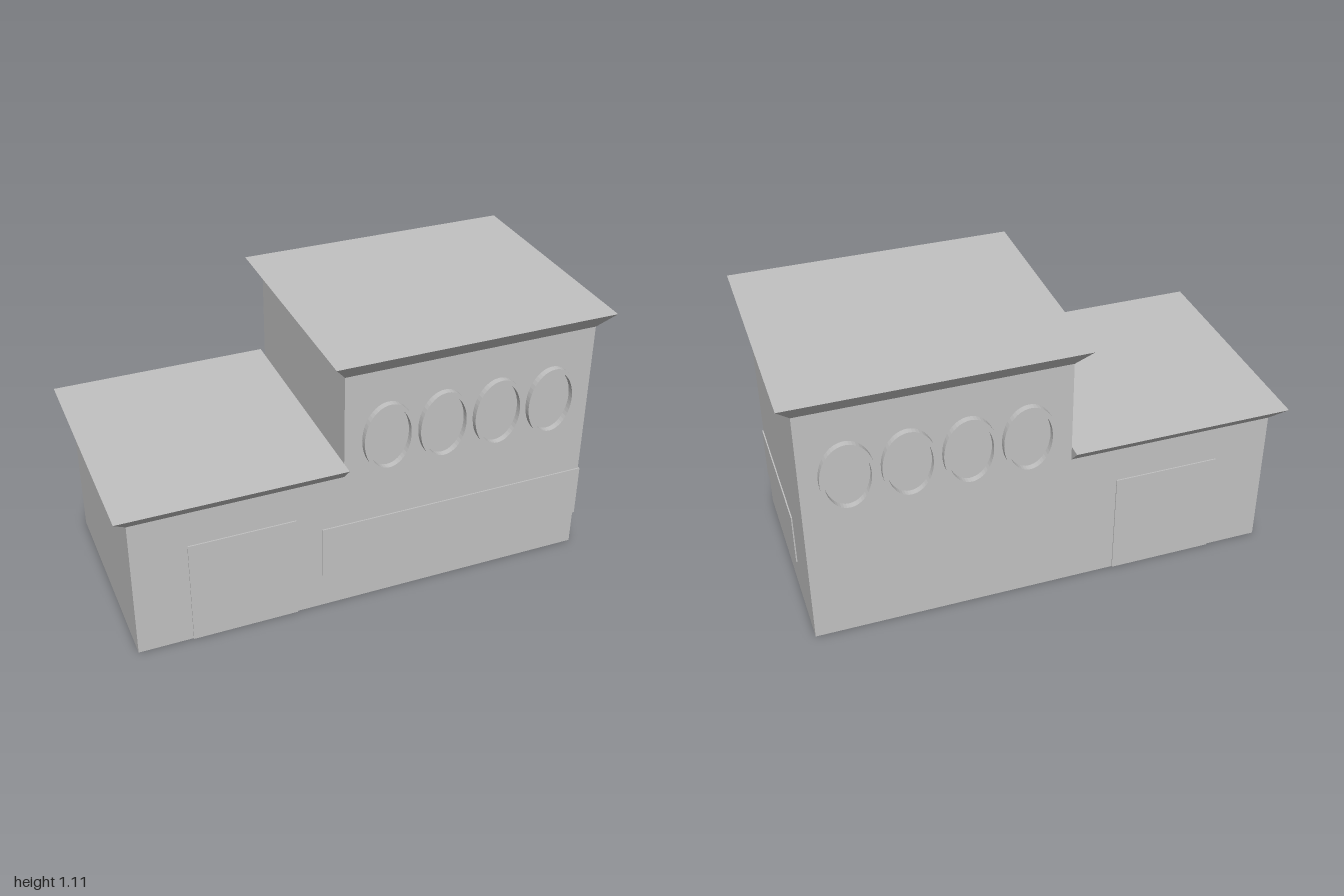
import * as THREE from 'three';

const HX = 0.945, HZ = 0.445, STEP = -0.1, LOW = 0.6, HIGH = 1.035, OUT = 0.005;

export function createModel() {
  const model = new THREE.Group();
  const plaster = new THREE.MeshStandardMaterial({ color: 0xc2c2c2, side: THREE.DoubleSide });
  plaster.name = 'plasterGrey';

  const add = (name, geometry, parent = model) => {
    const mesh = new THREE.Mesh(geometry, plaster);
    mesh.name = name;
    parent.add(mesh);
    return mesh;
  };
  // box given by its limits on each axis
  const block = (x0, x1, y0, y1, z0, z1) =>
    new THREE.BoxGeometry(x1 - x0, y1 - y0, z1 - z0)
      .translate((x0 + x1) / 2, (y0 + y1) / 2, (z0 + z1) / 2);

  // stepped front and back walls; the shell is open underneath
  const outline = new THREE.Shape([
    [-HX, 0], [HX, 0], [HX, HIGH], [STEP, HIGH], [STEP, LOW], [-HX, LOW],
  ].map(([x, y]) => new THREE.Vector2(x, y)));
  add('frontWall', new THREE.ShapeGeometry(outline)).position.z = HZ;
  const back = add('backWall', new THREE.ShapeGeometry(outline).scale(-1, 1, 1));
  back.position.z = -HZ;
  back.rotation.y = Math.PI;

  // end walls and the wall above the lower roof
  const endWall = (name, x, y0, y1, side) => {
    const wall = add(name, new THREE.PlaneGeometry(2 * HZ, y1 - y0));
    wall.position.set(x, (y0 + y1) / 2, 0);
    wall.rotation.y = side * Math.PI / 2;
  };
  endWall('leftWall', HX, 0, HIGH, 1);
  endWall('rightWall', -HX, 0, LOW, -1);
  endWall('stepWall', STEP, LOW, HIGH, -1);

  // flat roofs whose sides flare outwards to the top
  const roof = (name, x0, x1, y0, y1, flareMin, flareMax) => {
    const g = block(x0, x1, y0, y1, -HZ, HZ);
    const p = g.attributes.position;
    const middle = (x0 + x1) / 2;
    for (let i = 0; i < p.count; i++) {
      if (p.getY(i) < (y0 + y1) / 2) continue;
      const x = p.getX(i);
      p.setX(i, x < middle ? x - flareMin : x + flareMax);
      p.setZ(i, Math.sign(p.getZ(i)) * 0.5);
    }
    g.computeVertexNormals();
    add(name, g);
  };
  roof('upperRoof', STEP, HX, HIGH, 1.105, 0.055, 0.055);
  roof('lowerRoof', -HX, STEP, LOW, 0.66, 0.055, 0);

  // oval window frames, four on each long side
  const ring = new THREE.Shape().absellipse(0, 0, 0.104, 0.148, 0, Math.PI * 2);
  ring.holes.push(new THREE.Path().absellipse(0, 0, 0.088, 0.132, 0, Math.PI * 2, true));
  const frame = new THREE.ExtrudeGeometry(ring, { depth: 0.025, bevelEnabled: false, curveSegments: 24 });
  for (const z of [HZ, -HZ - 0.025]) {
    const row = new THREE.Group();
    row.name = z > 0 ? 'frontWindowFrames' : 'backWindowFrames';
    model.add(row);
    for (let i = 0; i < 4; i++) {
      add('windowFrame', frame, row).position.set(0.076 + i * 0.231, 0.7475, z);
    }
  }

  // shallow doors on both long sides
  add('frontDoor', block(-0.725, -0.295, 0, 0.45, HZ, HZ + OUT));
  add('backDoor', block(-0.725, -0.295, 0, 0.45, -HZ - OUT, -HZ));

  // band wrapping the front left corner
  add('frontBand', block(-0.19, HX, 0.15, 0.375, HZ, HZ + OUT));
  add('sideBand', block(HX, HX + OUT, 0.15, 0.375, -0.165, HZ + OUT));

  return model;
}
